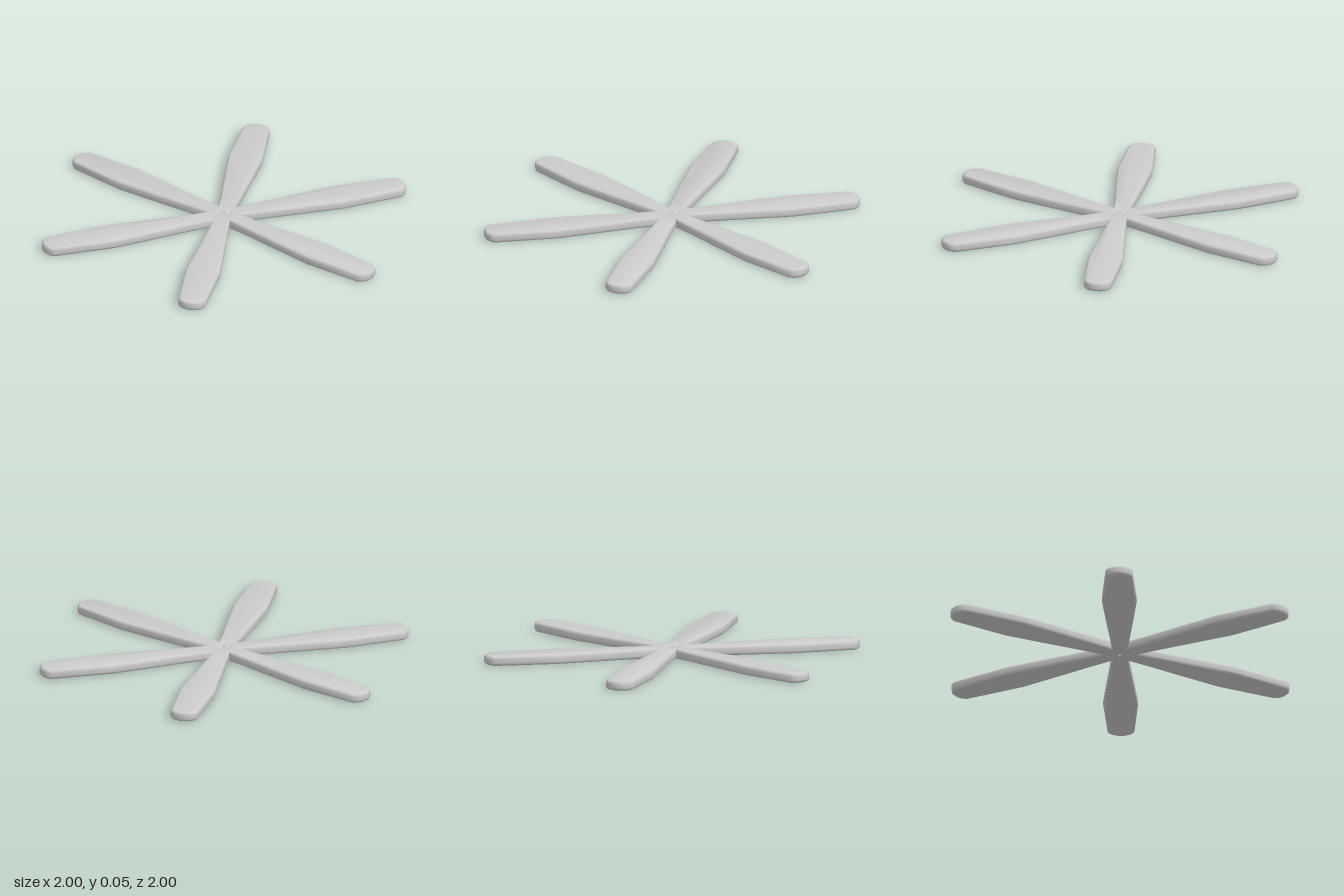
import * as THREE from 'three';
import { toCreasedNormals } from 'three/addons/utils/BufferGeometryUtils.js';

const BLADES = 6;
const HEIGHT = 0.053;
const BEVEL = 0.015;

// Half outline of one blade: [distance from centre, half width]
const HALF = [
  [0.078, 0.045], [0.2, 0.055], [0.4, 0.073], [0.655, 0.094],
  [0.99, 0.073], [1.015, 0.054], [1.031, 0.02],
];

// Star outline made by repeating the mirrored half profile around the centre
function rotorShape() {
  const points = [];
  for (let i = 0; i < BLADES; i++) {
    const angle = THREE.MathUtils.degToRad(-15 + (i * 360) / BLADES);
    const rightEdge = HALF.map(([u, v]) => new THREE.Vector2(u, -v));
    // the left edge skips the root point, which the next blade shares
    const leftEdge = HALF.slice(1).reverse().map(([u, v]) => new THREE.Vector2(u, v));
    for (const p of [...rightEdge, ...leftEdge]) {
      points.push(p.rotateAround(new THREE.Vector2(), angle));
    }
  }
  return new THREE.Shape(points);
}

export function createModel() {
  const group = new THREE.Group();
  group.name = 'propeller';
  const material = new THREE.MeshStandardMaterial({ color: 0xcccccc });

  // Six blades in one piece, with rounded edges and a pin hole in the middle
  const shape = rotorShape();
  shape.holes.push(new THREE.Path().absarc(0, 0, 0.022, 0, Math.PI * 2, true));
  const geometry = new THREE.ExtrudeGeometry(shape, {
    depth: HEIGHT - 2 * BEVEL,
    bevelThickness: BEVEL,
    bevelSize: BEVEL,
    bevelOffset: -BEVEL,
    bevelSegments: 3,
    curveSegments: 8,
  });
  geometry.rotateX(-Math.PI / 2);
  geometry.translate(0, BEVEL, 0);

  const blades = new THREE.Mesh(toCreasedNormals(geometry, 0.8), material);
  blades.name = 'blades';
  group.add(blades);

  // Small collar that narrows the pin hole
  const collar = new THREE.Mesh(
    new THREE.LatheGeometry(
      [[0.008, 0.001], [0.04, 0.001], [0.04, HEIGHT - 0.001], [0.008, HEIGHT - 0.001], [0.008, 0.001]]
        .map(([r, y]) => new THREE.Vector2(r, y)), 16),
    material);
  collar.geometry = toCreasedNormals(collar.geometry, 0.8);
  collar.name = 'collar';
  group.add(collar);

  return group;
}
